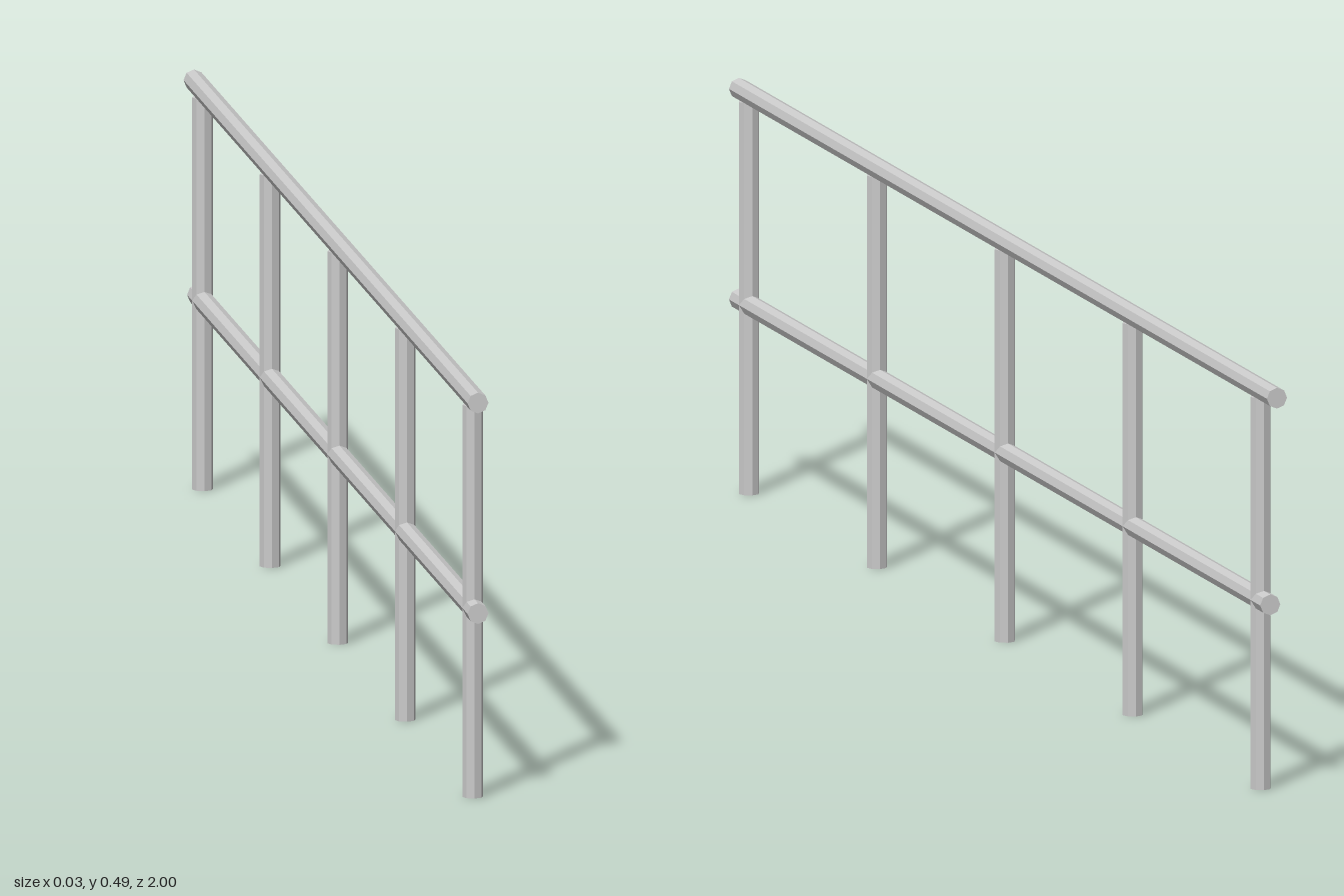
import * as THREE from 'three';

const RADIUS = 0.0125;
const SIDES = 8;

export function createModel() {
  const group = new THREE.Group();
  group.name = 'railing';
  const material = new THREE.MeshStandardMaterial({ color: 0xcccccc, flatShading: true });

  const bar = (name, length) => {
    const mesh = new THREE.Mesh(new THREE.CylinderGeometry(RADIUS, RADIUS, length, SIDES), material);
    mesh.name = name;
    group.add(mesh);
    return mesh;
  };

  // Horizontal rails running along z
  const rail = (name, y, zBack, zFront) => {
    const mesh = bar(name, zFront - zBack);
    mesh.rotation.x = Math.PI / 2;
    mesh.position.set(0, y, (zBack + zFront) / 2);
  };
  rail('topRail', 0.48, -1, 1);
  rail('middleRail', 0.227, -0.975, 1);

  // Evenly spaced posts, slightly sunk into the top rail
  const postHeight = 0.471;
  for (let i = 0; i < 5; i++) {
    bar(`post${i + 1}`, postHeight).position.set(0, postHeight / 2, 0.963 - i * 0.4755);
  }

  return group;
}
